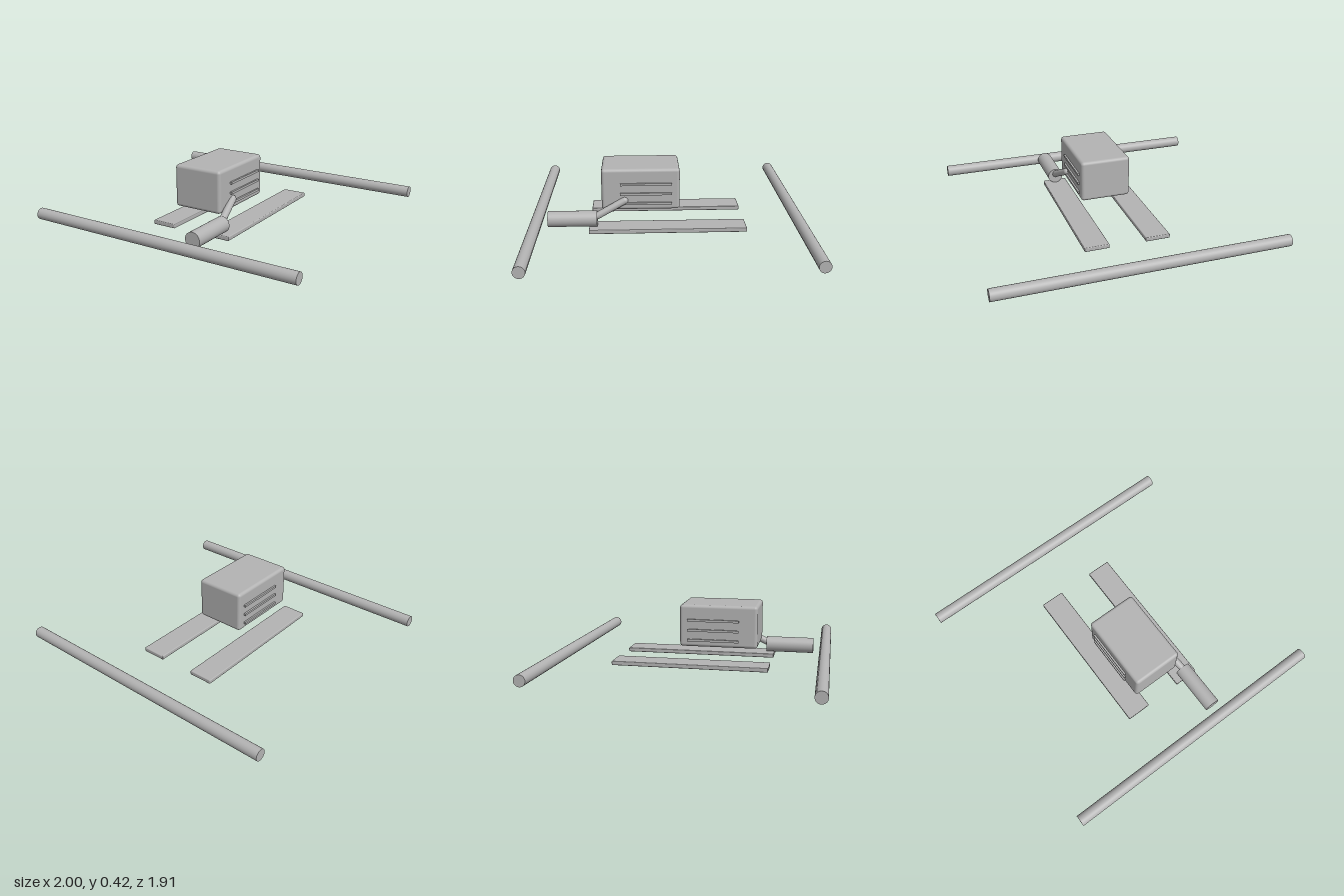
import * as THREE from 'three';
import { RoundedBoxGeometry } from 'three/addons/geometries/RoundedBoxGeometry.js';

const metal = new THREE.MeshStandardMaterial({ color: 0xb3b3b3 });
metal.name = 'grey metal';

export function createModel() {
  const model = new THREE.Group();
  model.name = 'engineOnRails';

  const add = (name, geometry, x, y, z) => {
    const mesh = new THREE.Mesh(geometry, metal);
    mesh.name = name;
    mesh.position.set(x, y, z);
    model.add(mesh);
    return mesh;
  };

  // Engine housing with softly rounded edges
  add('engineBody', new RoundedBoxGeometry(0.358, 0.295, 0.545, 4, 0.022), 0, 0.277, 0.187);

  for (const [side, s] of [['left', 1], ['right', -1]]) {
    // Flat mounting runners
    add(side + 'Runner', new RoundedBoxGeometry(0.174, 0.03, 1.095, 2, 0.006), s * 0.216, 0.015, 0);

    // Cooling ribs on the housing sides
    for (const y of [0.177, 0.247, 0.317]) {
      add(side + 'Rib', new THREE.BoxGeometry(0.025, 0.016, 0.36), s * 0.1795, y, 0.15);
    }
  }

  // Cross bars in front and behind
  for (const [name, z] of [['frontBar', 0.915], ['rearBar', -0.915]]) {
    add(name, new THREE.CylinderGeometry(0.04, 0.04, 2, 32), 0, 0.056, z).rotation.z = Math.PI / 2;
  }

  // Muffler
  add('muffler', new THREE.CylinderGeometry(0.055, 0.055, 0.34, 32), 0.22, 0.085, 0.66).rotation.x = Math.PI / 2;

  // Exhaust pipe, from the housing side down into the muffler
  const start = new THREE.Vector3(0.18, 0.199, 0.3);
  const end = new THREE.Vector3(0.222, 0.089, 0.52);
  const mid = start.clone().lerp(end, 0.5);
  const pipe = add('exhaustPipe', new THREE.CapsuleGeometry(0.025, start.distanceTo(end), 8, 20), mid.x, mid.y, mid.z);
  pipe.quaternion.setFromUnitVectors(new THREE.Vector3(0, 1, 0), end.clone().sub(start).normalize());

  return model;
}
